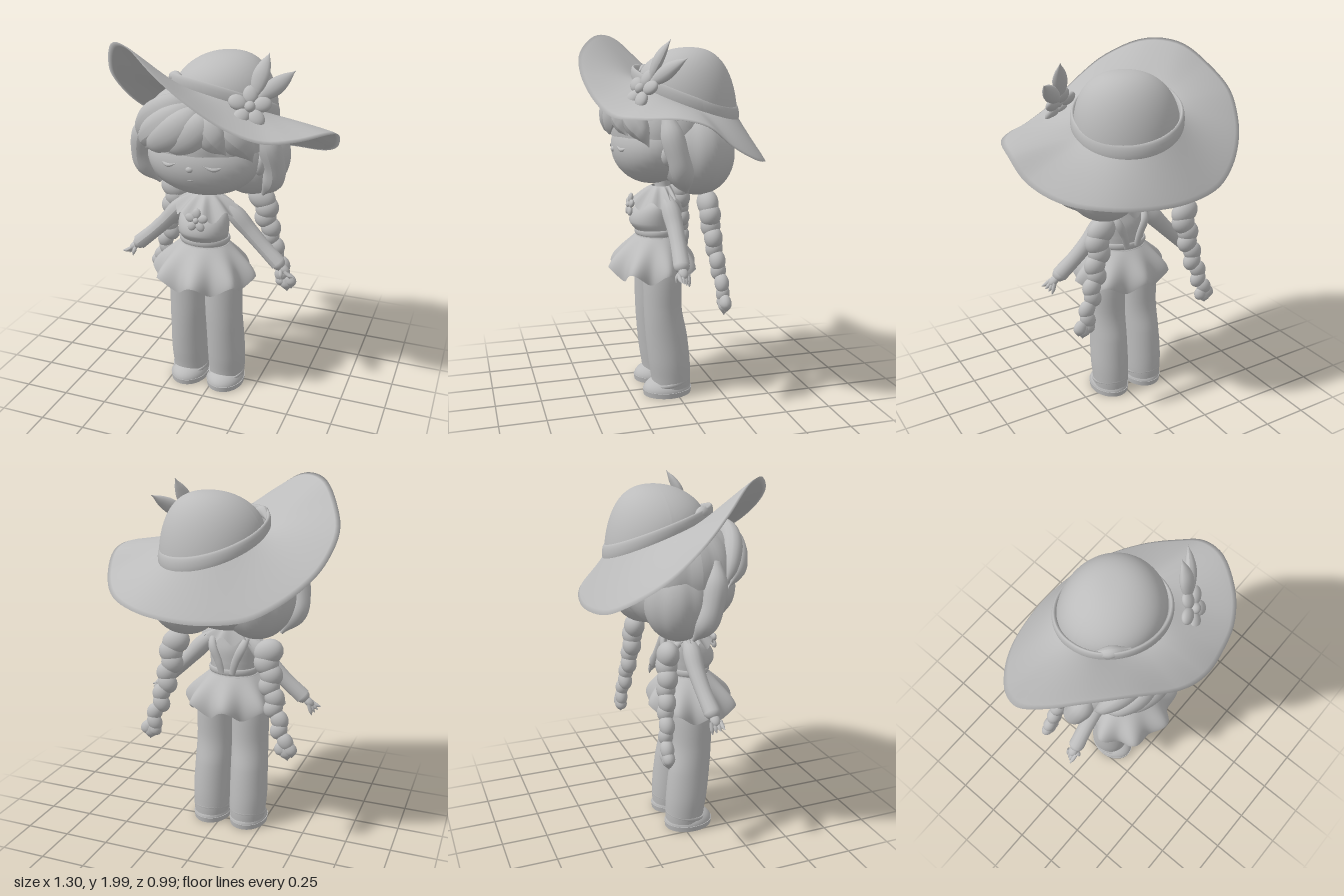
import * as THREE from 'three';
import { ParametricGeometry } from 'three/addons/geometries/ParametricGeometry.js';

const CX = -0.045; // mid-line of the figure
const V = (x, y, z) => new THREE.Vector3(x, y, z);
const lerp = THREE.MathUtils.lerp;

export function createModel() {
  const clay = new THREE.MeshStandardMaterial({ color: 0xbcbcbc, side: THREE.DoubleSide });
  clay.name = 'grey clay';
  const model = new THREE.Group();

  const add = (name, geometry, parent) => {
    const mesh = new THREE.Mesh(geometry, clay);
    mesh.name = name;
    parent.add(mesh);
    return mesh;
  };
  const section = (name) => {
    const g = new THREE.Group();
    g.name = name;
    model.add(g);
    return g;
  };
  const blob = (name, pos, size, parent, thetaEnd = Math.PI) => {
    const m = add(name, new THREE.SphereGeometry(1, 32, 20, 0, Math.PI * 2, 0, thetaEnd), parent);
    m.position.set(...pos);
    m.scale.set(...size);
    return m;
  };
  // blob with shallow vertical strand grooves
  const hairBlob = (name, pos, size, parent, count, depth, thetaEnd = Math.PI) => {
    const geo = new THREE.SphereGeometry(1, 72, 24, 0, Math.PI * 2, 0, thetaEnd);
    const p = geo.attributes.position;
    for (let i = 0; i < p.count; i++) {
      const x = p.getX(i), z = p.getZ(i);
      const k = 1 - depth * Math.pow(Math.abs(Math.sin(Math.atan2(z, x) * count / 2)), 4) * Math.hypot(x, z);
      p.setXYZ(i, x * k, p.getY(i), z * k);
    }
    geo.computeVertexNormals();
    const m = add(name, geo, parent);
    m.position.set(...pos);
    m.scale.set(...size);
    return m;
  };
  // tube along a curve whose radius follows a smooth list
  const sweep = (name, points, radii, parent, flat = 1) => {
    const curve = new THREE.CatmullRomCurve3(points.map((q) => V(...q)));
    const radius = new THREE.SplineCurve(radii.map((r, i) => new THREE.Vector2(i, r)));
    const seg = 28, rad = 14;
    const geo = new THREE.TubeGeometry(curve, seg, 1, rad);
    const p = geo.attributes.position, v = V(0, 0, 0);
    for (let i = 0; i < p.count; i++) {
      const u = Math.floor(i / (rad + 1)) / seg, c = curve.getPointAt(u);
      v.fromBufferAttribute(p, i).sub(c).multiplyScalar(Math.max(0.001, radius.getPoint(u).y));
      p.setXYZ(i, c.x + v.x, c.y + v.y, c.z + v.z * flat);
    }
    geo.computeVertexNormals();
    return add(name, geo, parent);
  };
  // stacked ellipses, top to bottom: [y, centre x, centre z, radius x, radius z]
  const loft = (name, rings, parent) => {
    const curves = [1, 2, 3, 4].map((k) => new THREE.SplineCurve(rings.map((r) => new THREE.Vector2(r[0], r[k]))));
    return add(name, new ParametricGeometry((u, v, out) => {
      const a = u * Math.PI * 2, [cx, cz, rx, rz] = curves.map((c) => c.getPoint(v).y);
      out.set(cx + rx * Math.cos(a), curves[0].getPoint(v).x, cz + rz * Math.sin(a));
    }, 36, 30), parent);
  };
  const flower = (name, pos, normal, r, parent) => {
    const g = new THREE.Group();
    g.name = name;
    g.position.set(...pos);
    g.quaternion.setFromUnitVectors(V(0, 0, 1), V(...normal).normalize());
    for (let i = 0; i < 5; i++) {
      const a = Math.PI / 2 + i * Math.PI * 0.4;
      const petal = blob('petal', [Math.cos(a) * r * 0.58, Math.sin(a) * r * 0.58, 0], [r * 0.43, r * 0.35, r * 0.22], g);
      petal.rotation.z = a;
    }
    blob('flowerHeart', [0, 0, r * 0.12], [r * 0.25, r * 0.25, r * 0.22], g);
    parent.add(g);
  };

  // ---- Hat: brim and crown meet on a plane tilted back and to one side ----
  const hat = section('sunHat');
  const ringY = (x, z) => 1.645 + 0.33 * (z + 0.08) - 0.2 * x;
  const edge = new THREE.CatmullRomCurve3([
    [0.65, 1.55, 0], [0.63, 1.585, 0.13], [0.51, 1.58, 0.3], [0.37, 1.585, 0.4], [0.2, 1.65, 0.455], [0, 1.78, 0.49],
    [-0.16, 1.89, 0.465], [-0.35, 1.985, 0.34], [-0.5, 1.97, 0.2], [-0.6, 1.86, 0.06], [-0.65, 1.74, -0.07],
    [-0.615, 1.6, -0.2], [-0.55, 1.51, -0.29], [-0.44, 1.42, -0.385], [-0.3, 1.35, -0.455], [-0.08, 1.32, -0.495],
    [0.12, 1.32, -0.48], [0.32, 1.335, -0.42], [0.51, 1.37, -0.29], [0.62, 1.45, -0.13],
  ].map((q) => V(...q)), true);
  add('brim', new ParametricGeometry((u, v, out) => {
    const e = edge.getPoint(u), a = Math.atan2(e.z + 0.08, e.x - 0.015);
    const t = 1 - Math.abs(1 - 2 * v), side = v < 0.5 ? 1 : -1;
    const x = 0.015 + 0.29 * Math.cos(a), z = -0.075 + 0.28 * Math.sin(a);
    out.set(lerp(x, e.x, t), lerp(ringY(x, z), e.y, t) + side * 0.015 * Math.sqrt(1 - t * t), lerp(z, e.z, t));
  }, 96, 28), hat);
  // half sphere squared off a little and sheared to sit on the tilted ring
  const crown = new THREE.SphereGeometry(1, 64, 28, 0, Math.PI * 2, 0, Math.PI / 2);
  const cp = crown.attributes.position;
  for (let i = 0; i < cp.count; i++) {
    const h = cp.getY(i), k = Math.pow(1 - h * h + 1e-6, -0.08);
    const x = 0.02 + 0.02 * h + 0.278 * k * cp.getX(i), z = -0.085 + 0.265 * k * cp.getZ(i);
    cp.setXYZ(i, x, lerp(ringY(x, z), 1.655, h) + 0.265 * h, z);
  }
  crown.computeVertexNormals();
  add('crown', crown, hat);
  add('hatBand', new ParametricGeometry((u, v, out) => {
    const a = -u * Math.PI * 2, b = v * Math.PI * 2;
    const k = 1 + 0.05 * Math.cos(b) + 0.05 * Math.max(0, Math.sin(a));
    const x = 0.012 + 0.28 * k * Math.cos(a), z = -0.08 + 0.27 * k * Math.sin(a);
    out.set(x, ringY(x, z) + 0.03 + 0.045 * Math.sin(b), z);
  }, 64, 14), hat);
  sweep('bandKnot', [[-0.25, 1.765, 0.02], [-0.2, 1.8, 0.09], [-0.12, 1.79, 0.15]], [0.005, 0.03, 0.005], hat);
  flower('hatFlower', [0.25, 1.71, 0.225], [0.35, 0.5, 0.8], 0.11, hat);
  sweep('upperLeaf', [[0.26, 1.75, 0.19], [0.28, 1.85, 0.15], [0.305, 1.955, 0.09]], [0.012, 0.036, 0.043, 0.028, 0.001], hat, 0.5);
  sweep('outerLeaf', [[0.27, 1.74, 0.19], [0.35, 1.8, 0.12], [0.425, 1.865, 0.04]], [0.012, 0.036, 0.043, 0.028, 0.001], hat, 0.5);

  // ---- Head ----
  const head = section('head');
  blob('face', [CX + 0.01, 1.395, 0.115], [0.305, 0.2, 0.205], head);
  blob('nose', [CX + 0.01, 1.385, 0.315], [0.02, 0.016, 0.014], head);
  blob('mouth', [CX + 0.01, 1.325, 0.3], [0.022, 0.008, 0.008], head);
  for (const s of [1, -1]) {
    const x = (d) => CX + 0.01 + s * d;
    sweep('closedEye', [[x(0.07), 1.41, 0.31], [x(0.125), 1.392, 0.296], [x(0.18), 1.41, 0.272]], [0.003, 0.012, 0.003], head);
    blob('ear', [x(0.3), 1.375, 0.09], [0.03, 0.055, 0.04], head);
  }

  // ---- Hair ----
  const hair = section('hair');
  hairBlob('hairCap', [CX - 0.01, 1.5, 0.01], [0.36, 0.28, 0.325], hair, 14, 0.03, 1.72);
  blob('backHair', [CX, 1.41, -0.06], [0.33, 0.225, 0.215], hair);
  const fringe = [
    [[-0.02, 1.72, 0.22], [-0.18, 1.66, 0.25], [-0.33, 1.55, 0.19], [-0.385, 1.44, 0.13]],
    [[-0.02, 1.71, 0.23], [-0.15, 1.61, 0.29], [-0.28, 1.52, 0.25], [-0.36, 1.44, 0.17]],
    [[0.0, 1.7, 0.23], [-0.08, 1.6, 0.31], [-0.2, 1.52, 0.3], [-0.31, 1.45, 0.24]],
    [[0.04, 1.68, 0.23], [0.0, 1.59, 0.305], [-0.09, 1.52, 0.31], [-0.19, 1.46, 0.3]],
    [[0.0, 1.67, 0.24], [0.06, 1.58, 0.29], [0.1, 1.53, 0.29], [0.15, 1.47, 0.28]],
    [[0.05, 1.66, 0.22], [0.15, 1.57, 0.25], [0.22, 1.5, 0.22], [0.26, 1.42, 0.19]],
  ];
  fringe.forEach((pts) => sweep('fringeLock', pts, [0.02, 0.075, 0.085, 0.06, 0.002], hair, 0.65));
  // the right lobe sits further forward than the left
  hairBlob('leftHairLobe', [CX + 0.205, 1.375, -0.095], [0.215, 0.225, 0.2], hair, 7, 0.04);
  hairBlob('rightHairLobe', [CX - 0.175, 1.375, -0.05], [0.21, 0.225, 0.185], hair, 7, 0.04);
  for (const s of [1, -1]) {
    const x = (d) => CX + s * d;
    sweep('sideLock', [[x(0.31), 1.58, 0.1], [x(0.36), 1.46, 0.08], [x(0.375), 1.31, 0.04], [x(0.3), 1.18, -0.01]],
      [0.03, 0.06, 0.058, 0.055, 0.01], hair);
    // braid: overlapping tilted beads that shrink downwards
    const path = new THREE.CatmullRomCurve3([V(x(0.265), 1.11, -0.14), V(x(0.285), 0.99, -0.15), V(x(0.32), 0.83, -0.168), V(x(0.382), 0.64, -0.19)]);
    const n = 9;
    for (let i = 0; i < n; i++) {
      const t = i / (n - 1), c = path.getPointAt(t), k = i % 2 ? 1 : -1, r = lerp(0.082, 0.042, Math.sqrt(t));
      const bead = blob('braidBead', [c.x + k * 0.01, c.y, c.z], [r, lerp(0.068, 0.052, t), Math.min(r * 0.85, 0.056)], hair);
      bead.rotation.z = k * 0.5;
    }
    for (const k of [-1, 0, 1]) {
      sweep('braidTuft', [[x(0.386), 0.64, -0.19], [x(0.396 + k * 0.024), 0.59, -0.19], [x(0.405 + k * 0.024), 0.53 + Math.abs(k) * 0.02, -0.185]],
        [0.018, 0.036, 0.036, 0.002], hair, 0.8);
    }
  }

  // ---- Torso and blouse ----
  const body = section('body');
  loft('torso', [
    [1.23, CX, 0.04, 0.05, 0.045], [1.15, CX, 0.04, 0.055, 0.045], [1.11, CX, 0.05, 0.12, 0.065],
    [1.05, CX, 0.085, 0.138, 0.115], [0.98, CX, 0.098, 0.14, 0.128], [0.92, CX, 0.08, 0.13, 0.108], [0.86, CX, 0.08, 0.145, 0.115],
  ], body);
  add('collar', new ParametricGeometry((u, v, out) => {
    const a = u * Math.PI * 2, front = Math.max(0, Math.sin(a));
    const zig = 0.022 * Math.cos(a * 9) * v;
    out.set(CX + lerp(0.06, 0.18, v) * Math.cos(a), 1.175 - 0.075 * Math.pow(v, 1.3) - 0.03 * v * front + zig,
      0.05 + lerp(0.05, 0.075 + 0.1 * front, v) * Math.sin(a));
  }, 72, 10), body);
  flower('collarFlower', [CX + 0.01, 1.075, 0.228], [0, 0.15, 1], 0.065, body);
  for (const y of [0.925, 0.885]) {
    const belt = add('waistBand', new THREE.TorusGeometry(1, 0.06, 10, 48), body);
    belt.position.set(CX, y, 0.08);
    belt.rotation.x = Math.PI / 2;
    belt.scale.set(0.135, 0.11, 0.3);
  }
  for (const s of [1, -1]) {
    const x = (d) => CX + s * d;
    sweep('backStrap', [[x(0.1), 1.12, 0.02], [x(0.085), 1.07, -0.03], [x(0.05), 0.99, -0.035], [x(0.03), 0.92, -0.03]],
      [0.018, 0.024, 0.022, 0.018], body, 0.6);
  }

  // ---- Skirt: flares out, then drops to a rippled hem ----
  add('ruffledSkirt', new ParametricGeometry((u, v, out) => {
    const a = u * Math.PI * 2, flare = Math.sin(Math.min(v * 1.6, 1.6)), wave = Math.cos(a * 8 + 0.6);
    const k = 1 + 0.1 * v * wave;
    out.set(CX + lerp(0.138, 0.272, flare) * k * Math.cos(a), 0.9 - 0.2 * v + 0.03 * v * v * wave,
      lerp(0.08, 0.1, v) + lerp(0.112, 0.232, flare) * k * Math.sin(a));
  }, 128, 16), body);

  for (const s of [1, -1]) {
    const x = (d) => CX + s * d;
    // ---- Arms and hands ----
    const arm = section(s > 0 ? 'leftArm' : 'rightArm');
    sweep('sleeve', [[x(0.08), 1.125, 0.045], [x(0.15), 1.075, 0.04], [x(0.23), 0.99, 0.035], [x(0.32), 0.9, 0.04], [x(0.415), 0.815, 0.05]],
      [0.03, 0.05, 0.045, 0.042, 0.044], arm);
    blob('sleeveEnd', [x(0.413), 0.817, 0.05], [0.038, 0.038, 0.042], arm);
    const palm = blob('palm', [x(0.448), 0.787, 0.052], [0.035, 0.022, 0.026], arm);
    palm.rotation.z = -s * 0.7;
    for (let i = 0; i < 4; i++) {
      const z = 0.078 - i * 0.017;
      sweep('finger', [[x(0.455), 0.783, z], [x(0.482 - i * 0.006), 0.765 - i * 0.004, z], [x(0.51 - i * 0.012), 0.757 - i * 0.012, z]],
        [0.01, 0.011, 0.01, 0.003], arm);
    }
    sweep('thumb', [[x(0.435), 0.785, 0.07], [x(0.44), 0.76, 0.085], [x(0.445), 0.74, 0.088]], [0.01, 0.011, 0.003], arm);

    // ---- Trousers and shoes ----
    const leg = section(s > 0 ? 'leftLeg' : 'rightLeg');
    loft('trouserLeg', [
      [0.86, x(0.085), 0.075, 0.085, 0.09], [0.7, x(0.105), 0.07, 0.104, 0.106], [0.5, x(0.107), 0.068, 0.105, 0.106],
      [0.35, x(0.11), 0.05, 0.106, 0.116], [0.2, x(0.113), 0.034, 0.108, 0.117], [0.1, x(0.112), 0.024, 0.105, 0.112], [0.045, x(0.112), 0.022, 0.1, 0.108],
    ], leg);
    const cuff = add('trouserCuff', new THREE.TorusGeometry(1, 0.06, 10, 40), leg);
    cuff.position.set(x(0.112), 0.075, 0.028);
    cuff.rotation.x = Math.PI / 2 + 0.2;
    cuff.scale.set(0.1, 0.112, 0.2);
    blob('shoeUpper', [x(0.112), 0.025, 0.045], [0.106, 0.078, 0.137], leg, Math.PI / 2);
    const sole = add('shoeSole', new THREE.CylinderGeometry(1, 0.97, 0.03, 40), leg);
    sole.position.set(x(0.112), 0.015, 0.045);
    sole.scale.set(0.109, 1, 0.14);
  }
  return model;
}
